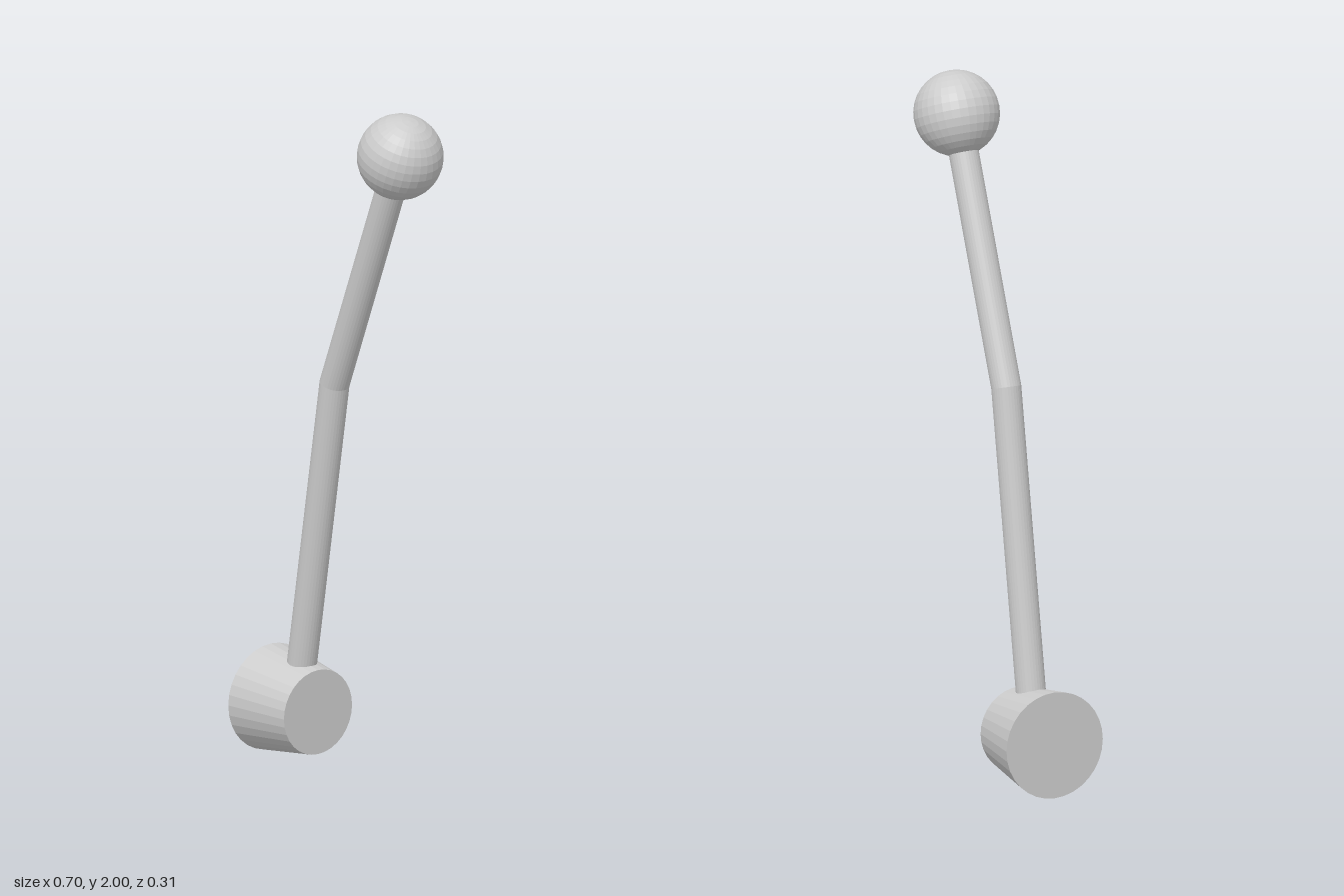
import * as THREE from 'three';

const UP = new THREE.Vector3(0, 1, 0);

// Round rod from a to b; the end at the elbow is cut along the mitre plane.
function rod(a, b, radius, elbow, mitre, material) {
  const dir = b.clone().sub(a);
  const length = dir.length();
  dir.normalize();
  const geometry = new THREE.CylinderGeometry(radius, radius, length, 32);
  geometry.applyQuaternion(new THREE.Quaternion().setFromUnitVectors(UP, dir));
  geometry.translate((a.x + b.x) / 2, (a.y + b.y) / 2, (a.z + b.z) / 2);
  const pos = geometry.attributes.position;
  const v = new THREE.Vector3();
  for (let i = 0; i < pos.count; i++) {
    v.fromBufferAttribute(pos, i);
    const off = v.clone().sub(elbow);
    if (Math.abs(off.dot(dir)) > 0.01) continue;
    v.addScaledVector(dir, -off.dot(mitre) / dir.dot(mitre));
    pos.setXYZ(i, v.x, v.y, v.z);
  }
  geometry.computeVertexNormals();
  return new THREE.Mesh(geometry, material);
}

export function createModel() {
  const group = new THREE.Group();
  const material = new THREE.MeshStandardMaterial({ color: 0xcccccc, flatShading: true });
  const add = (name, mesh) => {
    mesh.name = name;
    group.add(mesh);
    return mesh;
  };

  const foot = new THREE.Vector3(-0.238, 0.157, -0.003);
  const elbow = new THREE.Vector3(-0.069, 1.142, -0.003);
  const top = new THREE.Vector3(0.228, 1.877, -0.003);
  const lowerDir = elbow.clone().sub(foot).normalize();
  const upperDir = top.clone().sub(elbow).normalize();
  const mitre = lowerDir.clone().add(upperDir).normalize();

  // Tapered pivot lying along x, wide end at -x
  const hub = add('pivotHub', new THREE.Mesh(new THREE.CylinderGeometry(0.124, 0.155, 0.213, 32), material));
  hub.rotation.z = -Math.PI / 2;
  hub.position.set(-0.2465, 0.157, 0);

  // Bent lever arm
  add('lowerArm', rod(foot, elbow, 0.043, elbow, mitre, material));
  add('upperArm', rod(elbow, top, 0.043, elbow, mitre, material));

  // Ball grip, its poles in line with the upper arm
  const knob = add('ballKnob', new THREE.Mesh(new THREE.SphereGeometry(0.1235, 32, 16), material));
  knob.quaternion.setFromUnitVectors(UP, upperDir);
  knob.position.copy(top);

  return group;
}
